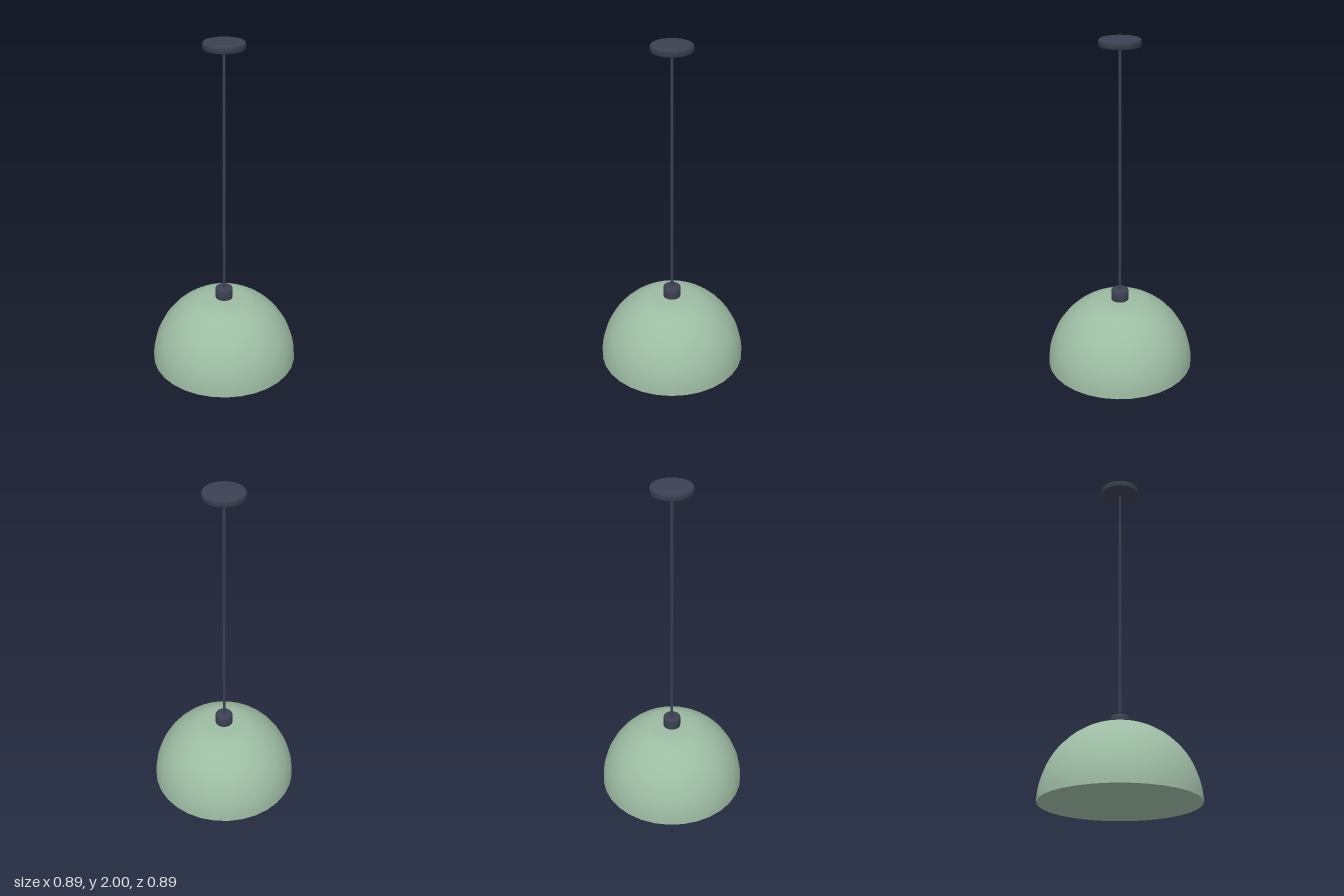
import * as THREE from 'three';
import { toCreasedNormals } from 'three/addons/utils/BufferGeometryUtils.js';

const green = new THREE.MeshStandardMaterial({ color: 0x9dbba3 });
green.name = 'sage green';
const dark = new THREE.MeshStandardMaterial({ color: 0x3c4051 });
dark.name = 'dark slate';

// Turned solid from [radius, height] pairs, listed from the bottom up
function turned(name, material, profile, sides) {
  const points = profile.map(([r, y]) => new THREE.Vector2(r, y));
  const geometry = toCreasedNormals(new THREE.LatheGeometry(points, sides), 0.75);
  const mesh = new THREE.Mesh(geometry, material);
  mesh.name = name;
  return mesh;
}

// Profile of a disc with rounded edges
function roundedDisc(radius, bottom, top, bevel, steps = 4) {
  const profile = [[0, bottom]];
  for (let i = 0; i <= steps; i++) {
    const a = (i / steps) * Math.PI / 2;
    profile.push([radius - bevel + bevel * Math.sin(a), bottom + bevel - bevel * Math.cos(a)]);
  }
  for (let i = 0; i <= steps; i++) {
    const a = (i / steps) * Math.PI / 2;
    profile.push([radius - bevel + bevel * Math.cos(a), top - bevel + bevel * Math.sin(a)]);
  }
  profile.push([0, top]);
  return profile;
}

export function createModel() {
  const lamp = new THREE.Group();
  lamp.name = 'pendantLamp';

  // Domed shade with a flat closed underside and a slightly flattened crown
  const shade = [[0, 0]];
  const radius = 0.445, crown = 0.42, steps = 14;
  const end = Math.asin(0.412 / radius);
  for (let i = 0; i <= steps; i++) {
    const a = (i / steps) * end;
    shade.push([radius * Math.cos(a), radius * Math.sin(a)]);
  }
  shade.push([0.12, 0.418], [0.06, crown], [0, crown]);
  lamp.add(turned('shade', green, shade, 32));

  // Collar on the crown
  lamp.add(turned('collar', dark, roundedDisc(0.053, 0.41, 0.49, 0.014), 24));

  // Hanging cord
  const cord = new THREE.Mesh(new THREE.CylinderGeometry(0.008, 0.008, 1.49, 12), dark);
  cord.name = 'cord';
  cord.position.y = 1.225;
  lamp.add(cord);

  // Ceiling canopy
  lamp.add(turned('ceilingCanopy', dark, roundedDisc(0.118, 1.954, 2, 0.014), 24));

  return lamp;
}
